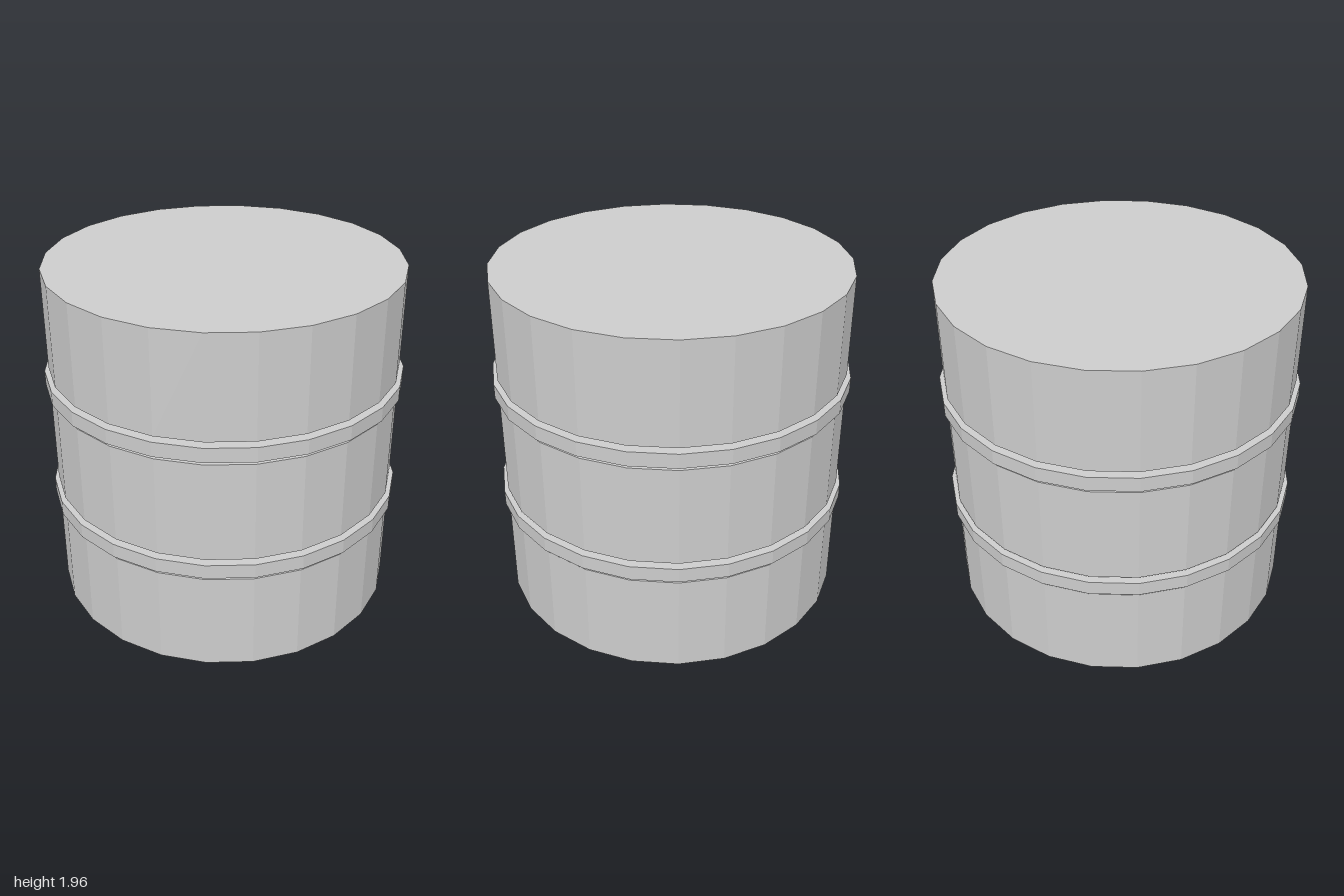
import * as THREE from 'three';

export function createModel() {
  const model = new THREE.Group();
  model.name = 'segmentedDrum';

  const grey = new THREE.MeshStandardMaterial({ color: 0xcccccc });
  grey.name = 'light grey';

  const SIDES = 24;
  const PITCH = 0.695; // height from one section to the next

  // Closed faceted disc standing on a given height
  function addDisc(name, radius, bottom, height) {
    const round = new THREE.CylinderGeometry(radius, radius, height, SIDES);
    const geometry = round.toNonIndexed(); // one flat normal per facet
    geometry.computeVertexNormals();
    const mesh = new THREE.Mesh(geometry, grey);
    mesh.name = name;
    mesh.position.y = bottom + height / 2;
    model.add(mesh);
  }

  // Three tall drum sections
  ['lowerSection', 'middleSection', 'upperSection'].forEach((name, i) =>
    addDisc(name, 0.977, i * PITCH, 0.568));

  // Two slightly wider rings floating in the gaps
  ['lowerRing', 'upperRing'].forEach((name, i) =>
    addDisc(name, 1, 0.593 + i * PITCH, 0.082));

  return model;
}
